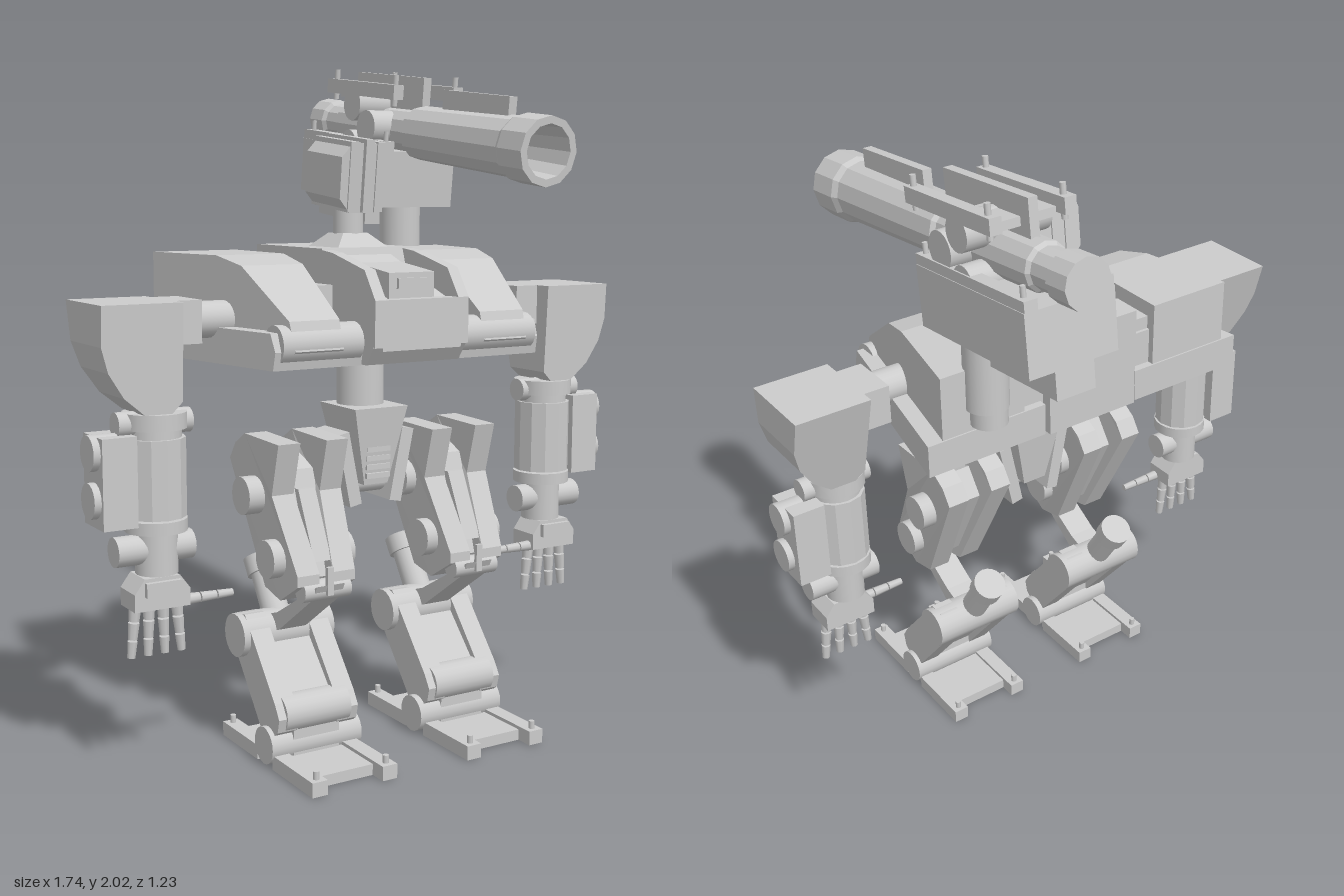
import * as THREE from 'three';

const mat = new THREE.MeshStandardMaterial({ color: 0xcccccc });
const flat = new THREE.MeshStandardMaterial({ color: 0xcccccc, flatShading: true });

function add(parent, name, geo, m = mat) {
  const mesh = new THREE.Mesh(geo, m);
  mesh.name = name;
  parent.add(mesh);
  return mesh;
}
function group(parent, name) {
  const g = new THREE.Group();
  g.name = name;
  if (parent) parent.add(g);
  return g;
}
// box given by its extents on each axis
function box(p, name, [x0, x1], [y0, y1], [z0, z1]) {
  const g = new THREE.BoxGeometry(x1 - x0, y1 - y0, z1 - z0);
  g.translate((x0 + x1) / 2, (y0 + y1) / 2, (z0 + z1) / 2);
  return add(p, name, g, flat);
}
// cylinder (or cone) running from point a to point b
function rod(p, name, a, b, r, r2 = r, seg = 20, m = mat) {
  const A = new THREE.Vector3(...a), B = new THREE.Vector3(...b), d = B.clone().sub(A);
  const g = new THREE.CylinderGeometry(r2, r, d.length(), seg);
  g.applyQuaternion(new THREE.Quaternion().setFromUnitVectors(new THREE.Vector3(0, 1, 0), d.normalize()));
  g.translate(...A.add(B).multiplyScalar(0.5).toArray());
  return add(p, name, g, m);
}
function extrude(pts, depth) {
  const shape = new THREE.Shape(pts.map(([a, b]) => new THREE.Vector2(a, b)));
  return new THREE.ExtrudeGeometry(shape, { depth, bevelEnabled: false });
}
// side profile of [z, y] points swept across x
function slabGeo(pts, x0, x1) {
  return extrude(pts, x1 - x0).rotateY(-Math.PI / 2).translate(x1, 0, 0);
}
const slab = (p, name, pts, [x0, x1]) => add(p, name, slabGeo(pts, x0, x1), flat);
// move every vertex by a rule
function warp(geo, rule) {
  const pos = geo.attributes.position, v = new THREE.Vector3();
  for (let i = 0; i < pos.count; i++) {
    rule(v.fromBufferAttribute(pos, i));
    pos.setXYZ(i, v.x, v.y, v.z);
  }
  geo.computeVertexNormals();
  return geo;
}
// mirrored copy of a limb with corrected winding
function mirror(src, name) {
  const out = group(null, name);
  src.updateMatrixWorld(true);
  src.traverse((o) => {
    if (!o.isMesh) return;
    const g = (o.geometry.index ? o.geometry.toNonIndexed() : o.geometry.clone()).applyMatrix4(o.matrixWorld);
    g.scale(-1, 1, 1);
    for (const a of Object.values(g.attributes)) {
      for (let i = 0; i < a.count; i += 3) for (let k = 0; k < a.itemSize; k++) {
        const t = a.getComponent(i + 1, k);
        a.setComponent(i + 1, k, a.getComponent(i + 2, k));
        a.setComponent(i + 2, k, t);
      }
    }
    add(out, o.name, g, o.material);
  });
  return out;
}

function makeTorso(root) {
  const t = group(root, 'torso');
  slab(t, 'torsoBody', [[-0.155, 1.15], [0.48, 1.15], [0.515, 1.2], [0.515, 1.31], [0.26, 1.4], [0.24, 1.46], [-0.155, 1.46]], [-0.155, 0.155]);
  // raised frame around the sloped canopy
  for (const s of [-1, 1]) slab(t, 'canopyRail', [[0.2, 1.46], [0.2, 1.3], [0.525, 1.2], [0.525, 1.33], [0.47, 1.41], [0.3, 1.45]], s > 0 ? [0.12, 0.155] : [-0.155, -0.12]);
  box(t, 'frontPlate', [-0.13, 0.13], [1.19, 1.33], [0.48, 0.525]);
  slab(t, 'canopyHood', [[0.22, 1.3], [0.47, 1.3], [0.47, 1.4], [0.3, 1.42], [0.22, 1.45]], [-0.075, 0.075]);
  box(t, 'visorSlit', [-0.05, 0.05], [1.355, 1.385], [0.46, 0.48]);
  rod(t, 'neckBase', [0, 1.46, 0.13], [0, 1.5, 0.13], 0.12, 0.06, 4, flat).geometry.translate(0, 0, -0.13).rotateY(Math.PI / 4).translate(0, 0, 0.13);
  rod(t, 'neck', [0, 1.49, 0.13], [0, 1.6, 0.13], 0.045);
  // waist and pelvis
  rod(t, 'waist', [0, 0.96, 0.2], [0, 1.17, 0.2], 0.07);
  add(t, 'pelvis', warp(new THREE.BoxGeometry(0.18, 0.23, 0.2), (v) => {
    if (v.y < 0) { v.x *= 0.45; v.z *= 0.7; }
    v.y += 0.885; v.z += 0.22;
  }), flat);
  for (let i = 0; i < 4; i++) box(t, 'pelvisVent', [-0.04, 0.04], [0.79 + i * 0.026, 0.805 + i * 0.026], [0.2, 0.305]);
  for (const s of [-1, 1]) {
    const panel = box(t, 'hipPanel', [-0.02, 0.02], [-0.11, 0.11], [-0.07, 0.07]);
    panel.position.set(s * 0.09, 0.82, 0.22);
    panel.rotation.z = -s * 0.2;
  }
  rod(t, 'hipAxle', [-0.2, 0.77, 0.22], [0.2, 0.77, 0.22], 0.035);
}

function makeHead(root) {
  const h = group(root, 'head');
  h.position.set(0, 1.67, 0.13);
  h.rotation.x = 0.112;
  const o = [[-0.085, -0.06], [-0.05, -0.1], [0.05, -0.1], [0.085, -0.06], [0.085, 0.06], [0.05, 0.1], [-0.05, 0.1], [-0.085, 0.06]];
  add(h, 'headShell', extrude(o, 0.2).translate(0, 0, -0.1), flat);
  for (const x of [-0.045, 0, 0.045]) box(h, 'headRib', [x - 0.014, x + 0.014], [-0.098, x ? 0.104 : 0.112], [-0.105, x ? 0.105 : 0.115]);
}

function makeShoulder() {
  const g = group(null, 'leftShoulder');
  const taper = (inner, back) => (v) => { v.x = inner + v.x * (back - 0.195 * (v.z + 0.145) - inner); };
  const upper = [[-0.14, 1.16], [0.46, 1.16], [0.495, 1.2], [0.47, 1.28], [0.27, 1.42], [0.16, 1.445], [-0.14, 1.445]];
  add(g, 'shoulderArmour', warp(slabGeo(upper, 0, 1), taper(0.235, 0.51)), flat);
  const lower = [[-0.145, 1.15], [0.47, 1.15], [0.48, 1.2], [0.46, 1.25], [-0.145, 1.25]];
  add(g, 'shoulderPlate', warp(slabGeo(lower, 0, 1), taper(0.165, 0.56)), flat);
  rod(g, 'frontRoller', [0.17, 1.215, 0.44], [0.42, 1.215, 0.44], 0.055);
  // rounded housing between torso and shoulder
  box(g, 'innerHousing', [0.155, 0.24], [1.2, 1.36], [-0.12, 0.3]);
  rod(g, 'innerDrum', [0.205, 1.2, 0.01], [0.205, 1.4, 0.01], 0.037);
  box(g, 'innerDrumBlock', [0.168, 0.242], [1.2, 1.4], [-0.11, 0.01]);
  rod(g, 'shoulderAxle', [0.4, 1.27, 0.19], [0.66, 1.27, 0.19], 0.052);
  return g;
}

function makeArm() {
  const a = group(null, 'leftArm');
  const outline = [[0.62, 1.33], [0.62, 1.06], [0.65, 1.03], [0.73, 1.03], [0.79, 1.08], [0.835, 1.15], [0.855, 1.22], [0.855, 1.33]];
  add(a, 'upperArm', warp(extrude(outline, 1), (v) => {
    const k = (1.33 - v.y) / 0.3, back = 0.05 + 0.08 * k;
    v.z = back + v.z * (0.305 - 0.015 * k - back);
  }), flat);
  box(a, 'shoulderBlock', [0.54, 0.64], [1.21, 1.33], [0.09, 0.25]);
  const c = 0.673, z = 0.22;
  rod(a, 'elbowCap', [c, 0.985, z], [c, 1.03, z], 0.09);
  rod(a, 'elbowNeck', [c, 0.95, z], [c, 1, z], 0.075);
  rod(a, 'forearm', [c, 0.74, z], [c, 0.96, z], 0.086, 0.086, 12, flat);
  rod(a, 'forearmRing', [c, 0.7, z], [c, 0.735, z], 0.088);
  rod(a, 'wristPost', [c, 0.58, z], [c, 0.72, z], 0.06);
  rod(a, 'elbowPin', [0.57, 1.0, z], [0.79, 1.0, z], 0.035);
  box(a, 'sidePod', [0.75, 0.85], [0.725, 0.975], [0.145, 0.28]);
  for (const y of [0.8, 0.93]) rod(a, 'podKnob', [0.75, y, z], [0.87, y, z], 0.05);
  rod(a, 'wristAxle', [0.57, 0.65, z], [0.8, 0.65, z], 0.042);
  // hand with four fingers and an inward thumb
  const palm = [[0.6, 0.49], [0.765, 0.49], [0.765, 0.54], [0.735, 0.58], [0.63, 0.58], [0.6, 0.54]];
  add(a, 'palm', extrude(palm, 0.1).translate(0, 0, 0.18), flat);
  box(a, 'knucklePlate', [0.63, 0.735], [0.53, 0.57], [0.27, 0.295]);
  for (let i = -1.5; i < 2; i++) {
    const p = (t) => [0.682 + i * (0.041 + 0.01 * t), 0.5 - 0.155 * t, 0.23];
    for (let j = 0; j < 3; j++) rod(a, 'finger', p(j / 3), p(j / 3 + 0.3), 0.019 - j * 0.002, 0.016 - j * 0.002, 8);
  }
  for (let j = 0; j < 3; j++) rod(a, 'thumb', [0.61 - j * 0.052, 0.5, 0.255], [0.562 - j * 0.052, 0.5, 0.255], 0.017 - j * 0.002, 0.015 - j * 0.002, 8);
  return a;
}

function makeLeg() {
  const l = group(null, 'leftLeg');
  // thigh: two side slabs with a recessed core
  const side = [[0.37, 0.93], [0.17, 0.935], [0.11, 0.9], [0.075, 0.85], [0.25, 0.5], [0.34, 0.48], [0.44, 0.54], [0.44, 0.57], [0.33, 0.78]];
  for (const [x0, x1, n] of [[0.145, 0.215, 1], [0.3, 0.37, -1]]) {
    add(l, 'thighSlab', warp(slabGeo(side, x0, x1), (v) => { if (v.y < 0.6) v.x += n * 0.02; }), flat);
  }
  slab(l, 'thighCore', [[0.29, 0.84], [0.2, 0.88], [0.14, 0.8], [0.26, 0.54], [0.4, 0.55]], [0.2, 0.31]);
  slab(l, 'thighActuator', [[0.33, 0.79], [0.28, 0.79], [0.36, 0.6], [0.42, 0.6]], [0.23, 0.285]);
  rod(l, 'hipDisc', [0.12, 0.765, 0.22], [0.41, 0.765, 0.22], 0.055);
  rod(l, 'kneeDisc', [0.125, 0.6, 0.325], [0.39, 0.6, 0.325], 0.055);
  // link arm from knee down to the shin
  slab(l, 'linkArm', [[0.46, 0.54], [0.44, 0.5], [0.24, 0.36], [0.14, 0.33], [0.14, 0.38], [0.23, 0.41]], [0.21, 0.3]);
  rod(l, 'linkRoller', [0.18, 0.52, 0.42], [0.33, 0.52, 0.42], 0.03);
  box(l, 'linkPin', [0.245, 0.265], [0.51, 0.59], [0.448, 0.46]);
  // shin
  const shin = [[0.12, 0.3], [0.11, 0.35], [0.14, 0.4], [0.19, 0.405], [0.37, 0.19], [0.395, 0.15], [0.385, 0.11], [0.35, 0.085], [0.29, 0.09]];
  for (const x of [[0.125, 0.19], [0.32, 0.385]]) slab(l, 'shinSlab', shin, x);
  slab(l, 'shinCore', [[0.14, 0.31], [0.2, 0.35], [0.365, 0.17], [0.34, 0.11], [0.29, 0.12]], [0.18, 0.33]);
  rod(l, 'shinDisc', [0.105, 0.34, 0.165], [0.405, 0.34, 0.165], 0.064);
  rod(l, 'shinRoller', [0.15, 0.15, 0.345], [0.36, 0.15, 0.345], 0.055);
  rod(l, 'piston', [0.255, 0.34, 0.165], [0.255, 0.5, 0.062], 0.042);
  rod(l, 'pistonCap', [0.255, 0.485, 0.07], [0.255, 0.53, 0.04], 0.052);
  // ankle and foot plates
  rod(l, 'ankle', [0.105, 0.06, 0.33], [0.4, 0.06, 0.33], 0.054);
  box(l, 'ankleBlock', [0.18, 0.33], [0.02, 0.13], [0.29, 0.38]);
  box(l, 'toePlate', [0.13, 0.385], [0, 0.032], [0.36, 0.545]);
  box(l, 'heelPlate', [0.13, 0.385], [0, 0.032], [0.11, 0.3]);
  for (const x of [0.145, 0.37]) {
    box(l, 'toeRail', [x - 0.024, x + 0.024], [0, 0.042], [0.37, 0.597]);
    box(l, 'heelRail', [x - 0.024, x + 0.024], [0, 0.042], [0.06, 0.28]);
    for (const z of [0.08, 0.575]) rod(l, 'footPin', [x, 0.03, z], [x, 0.065, z], 0.009, 0.009, 8);
  }
  return l;
}

function makeCannon(root) {
  rod(root, 'cannonPost', [0.365, 1.32, -0.145], [0.365, 1.64, -0.145], 0.065);
  rod(root, 'cannonPostFoot', [0.365, 1.27, -0.155], [0.365, 1.33, -0.155], 0.055);
  const g = group(root, 'cannon');
  g.position.set(0.365, 1.8, 0);
  g.rotation.x = 0.112;
  const profile = [[0, -0.61], [0.07, -0.61], [0.07, -0.53], [0.058, -0.52], [0.058, -0.45], [0.068, -0.44], [0.072, -0.03], [0.084, -0.02],
    [0.09, 0.48], [0.1, 0.5], [0.1, 0.61], [0.078, 0.61], [0.07, 0.4], [0, 0.4]].map(([r, y]) => new THREE.Vector2(r, y));
  add(g, 'barrel', new THREE.LatheGeometry(profile, 12).rotateX(Math.PI / 2), flat);
  box(g, 'frontSight', [-0.014, 0.014], [0.06, 0.14], [0.1, 0.43]);
  box(g, 'rearSight', [-0.014, 0.014], [0.06, 0.17], [-0.4, -0.01]);
  box(g, 'topBridge', [-0.1, 0.1], [0.09, 0.115], [-0.36, -0.2]);
  // ammunition housing below the barrel
  box(g, 'housing', [-0.137, 0.137], [-0.235, -0.06], [-0.53, -0.03]);
  box(g, 'housingKeel', [-0.06, 0.06], [-0.315, -0.23], [-0.53, -0.23]);
  for (const s of [-1, 1]) {
    box(g, 'topRail', [s * 0.112 - 0.018, s * 0.112 + 0.018], [0.1, 0.145], [-0.4, 0]);
    for (const z of [-0.37, -0.02]) rod(g, 'railPin', [s * 0.112, 0.08, z], [s * 0.112, 0.175, z], 0.009, 0.009, 8);
    box(g, 'housingBracket', [s * 0.115 - 0.02, s * 0.115 + 0.02], [-0.1, -0.03], [-0.53, -0.03]);
    for (const z of [-0.5, -0.05]) rod(g, 'bracketPin', [s * 0.115, -0.06, z], [s * 0.115, 0, z], 0.008, 0.008, 8);
  }
  for (const [y, z, r] of [[0.005, -0.15, 0.054], [0.07, -0.24, 0.05], [-0.055, -0.25, 0.045]]) rod(g, 'crossDrum', [-0.13, y, z], [0.13, y, z], r);
}

export function createModel() {
  const root = group(null, 'mech');
  makeTorso(root);
  makeHead(root);
  makeCannon(root);
  for (const [make, name] of [[makeShoulder, 'rightShoulder'], [makeArm, 'rightArm'], [makeLeg, 'rightLeg']]) {
    const left = make();
    root.add(left, mirror(left, name));
  }
  return root;
}
